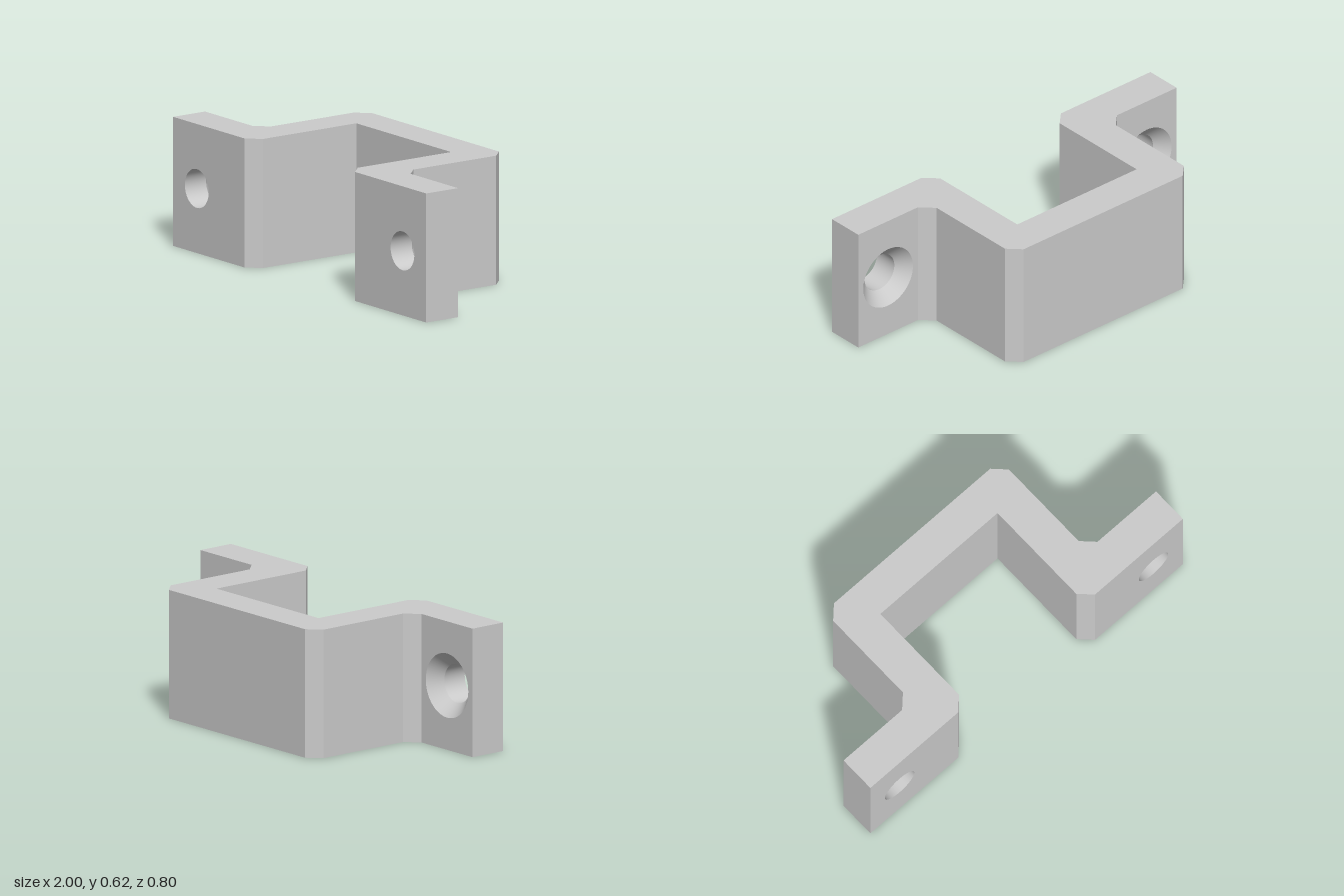
import * as THREE from 'three';
import { mergeGeometries } from 'three/addons/utils/BufferGeometryUtils.js';

const HEIGHT = 0.625, FRONT = 0.4, TAB_BACK = 0.2125;
const HOLE_X = 0.8125, HOLE_Y = HEIGHT / 2;
const BORE = 0.094, SINK = 0.156, SINK_Z = TAB_BACK + 0.0625;

// Plan of the bracket as [x, z], counterclockwise seen from above
const outer = [[1, FRONT], [1, TAB_BACK], [0.625, TAB_BACK], [0.5625, 0.15], [0.5625, -0.3375], [0.5, -0.4]];
const inner = [[0.375, -0.2125], [0.375, 0.3375], [0.4375, FRONT]];
const mirrored = (half) => half.map(([x, z]) => [-x, z]).reverse();
const plan = [...outer, ...mirrored(outer), ...mirrored(inner), ...inner];

// Flat top or bottom face
function cap(top) {
  const s = top ? -1 : 1;
  const shape = new THREE.Shape(plan.map(([x, z]) => new THREE.Vector2(x, s * z)));
  return new THREE.ShapeGeometry(shape).rotateX(s * Math.PI / 2).translate(0, top ? HEIGHT : 0, 0);
}

// Upright wall over one plan edge, pierced where it is a face of a tab
function wall(a, b) {
  const start = new THREE.Vector3(a[0], 0, a[1]);
  const along = new THREE.Vector3(b[0], 0, b[1]).sub(start);
  const length = along.length();
  along.normalize();
  const shape = new THREE.Shape().moveTo(0, 0).lineTo(length, 0).lineTo(length, HEIGHT).lineTo(0, HEIGHT).closePath();
  if (a[1] === b[1] && Math.max(Math.abs(a[0]), Math.abs(b[0])) === 1) {
    const offset = Math.abs(Math.sign(a[0]) * HOLE_X - a[0]);
    const hole = new THREE.Path();
    hole.absarc(offset, HOLE_Y, a[1] === FRONT ? BORE : SINK, 0, Math.PI * 2, true);
    shape.holes.push(hole);
  }
  const up = new THREE.Vector3(0, 1, 0);
  const normal = along.clone().cross(up);
  const frame = new THREE.Matrix4().makeBasis(along, up, normal).setPosition(start);
  return new THREE.ShapeGeometry(shape, 32).applyMatrix4(frame);
}

// Inside surface of a round hole between two depths
function holeSurface(r1, z1, r2, z2) {
  return new THREE.LatheGeometry([new THREE.Vector2(r1, z1), new THREE.Vector2(r2, z2)], 64).rotateX(Math.PI / 2);
}

export function createModel() {
  const group = new THREE.Group();
  group.name = 'mountingBracket';
  const material = new THREE.MeshStandardMaterial({ color: 0xcccccc });
  const holeMaterial = new THREE.MeshStandardMaterial({ color: 0xcccccc, side: THREE.DoubleSide });

  // Bent strap with two mounting tabs
  const walls = plan.map((p, i) => wall(p, plan[(i + 1) % plan.length]));
  const strap = new THREE.Mesh(mergeGeometries([cap(true), cap(false), ...walls]), material);
  strap.name = 'strap';
  group.add(strap);

  // Screw holes, countersunk from the back
  for (const [side, sign] of [['left', 1], ['right', -1]]) {
    const bore = new THREE.Mesh(holeSurface(BORE, FRONT, BORE, SINK_Z), holeMaterial);
    bore.name = side + 'ScrewHole';
    const sink = new THREE.Mesh(holeSurface(BORE, SINK_Z, SINK, TAB_BACK), holeMaterial);
    sink.name = side + 'Countersink';
    for (const mesh of [bore, sink]) {
      mesh.position.set(sign * HOLE_X, HOLE_Y, 0);
      group.add(mesh);
    }
  }
  return group;
}
